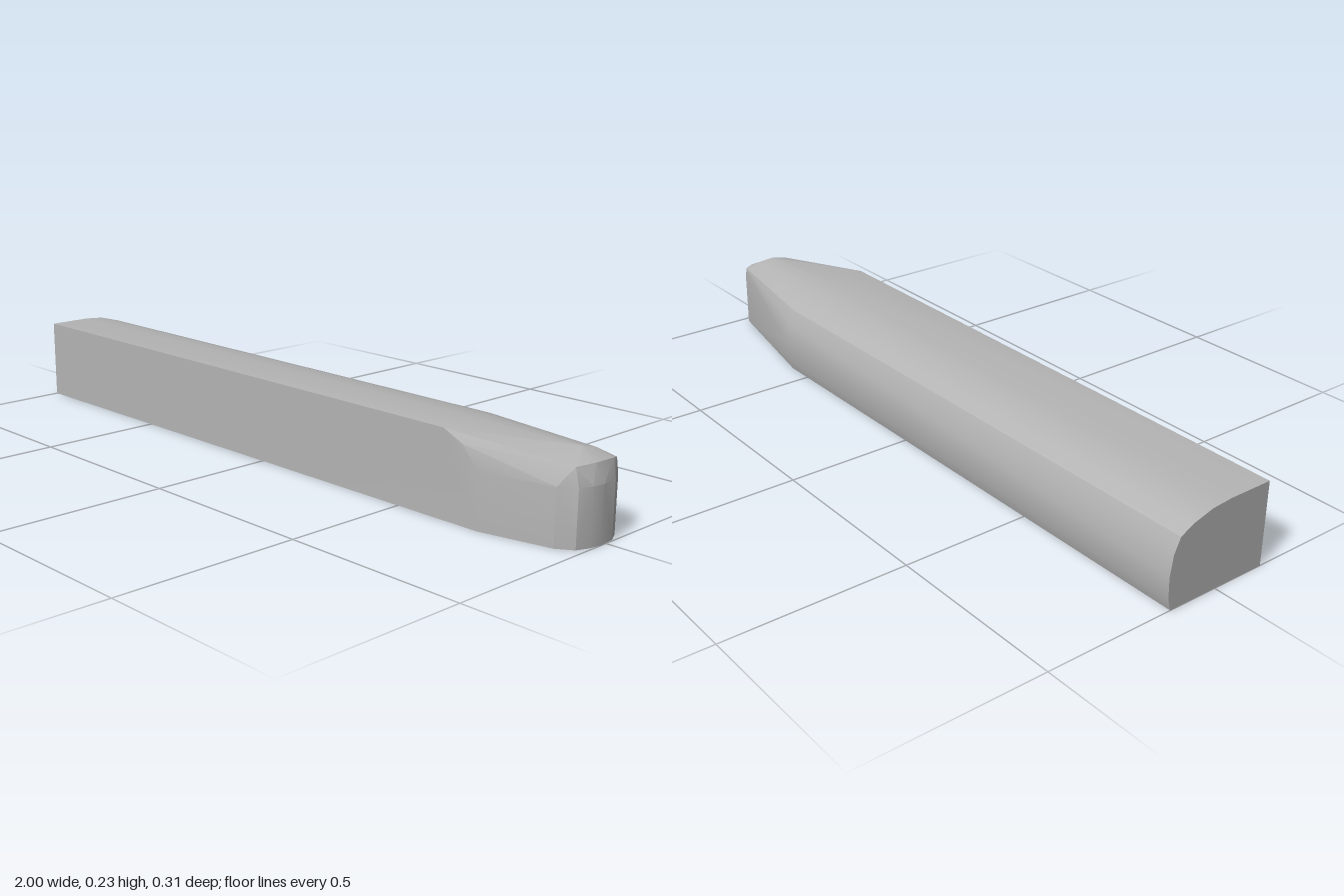
import * as THREE from 'three';
import { ConvexGeometry } from 'three/addons/geometries/ConvexGeometry.js';
import { toCreasedNormals } from 'three/addons/utils/BufferGeometryUtils.js';

export function createModel() {
  const group = new THREE.Group();
  group.name = 'halfRoundBar';
  const grey = new THREE.MeshStandardMaterial({ color: 0xb4b4b4 });
  grey.name = 'grey';

  const points = [];
  const add = (x, y, z) => points.push(new THREE.Vector3(x, y, z));

  // Constant body section [y, z]: flat front, rounded back
  const section = [
    [0, 0.153], [0.227, 0.153], [0.227, 0.03], [0.222, -0.03], [0.205, -0.09],
    [0.185, -0.127], [0.145, -0.145], [0.09, -0.153], [0.03, -0.151], [0, -0.142],
  ];
  for (const [y, z] of section) {
    add(-1, y, z);
    add(0.58, y, z);
  }

  // Upright nose wall [x, z], curving from the front face round to the back
  const wall = [
    [0.75, 0.153], [0.94, 0.113], [0.98, 0.086], [0.994, 0.05],
    [1, 0.02], [0.996, -0.03], [0.978, -0.065],
  ];
  for (const [x, z] of wall) {
    add(x, 0, z);
    add(x, 0.145, z);
  }

  // Bevelled front shoulder
  add(0.64, 0.227, 0.153);
  add(0.7, 0.2, 0.153);

  // Rounded top rim of the nose
  const rim = [
    [0.965, 0.19, 0.08], [0.982, 0.193, 0.03], [0.98, 0.19, -0.04],
    [0.972, 0.185, -0.065], [0.93, 0.217, 0.01], [0.94, 0.208, -0.03],
  ];
  for (const p of rim) add(...p);

  const body = new THREE.Mesh(toCreasedNormals(new ConvexGeometry(points), 0.35), grey);
  body.name = 'taperedBar';
  group.add(body);
  return group;
}
